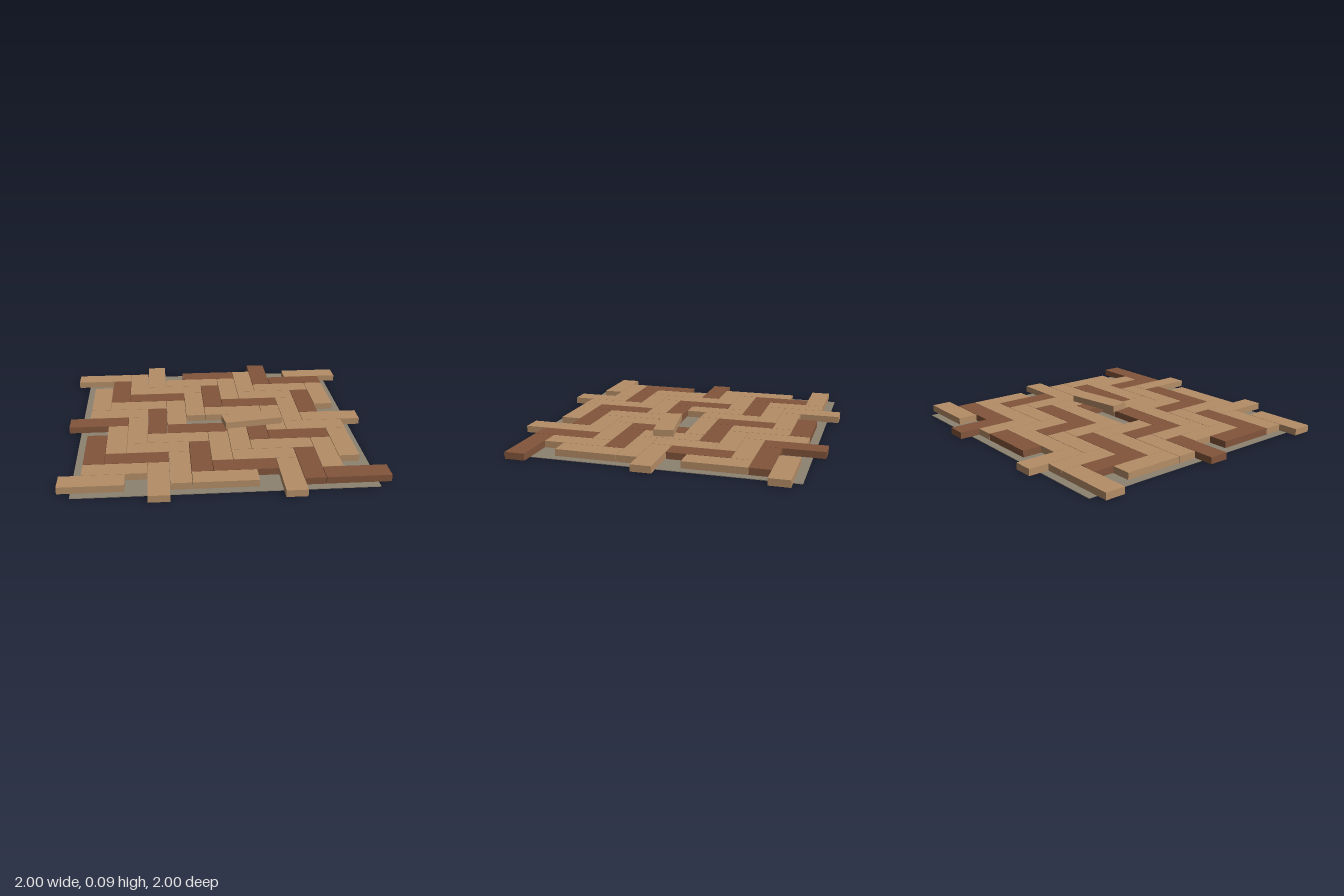
import * as THREE from 'three';

const CELL = 0.1335;   // plank width; a plank is three cells long
const GAP = 0.003;     // seam between planks
const THICK = 0.044;
const BASE = 0.004;    // thickness of the backing sheet
const CELLS = 15;

export function createModel() {
  const group = new THREE.Group();
  group.name = 'herringboneFloor';

  const paleWood = new THREE.MeshStandardMaterial({ name: 'pale wood', color: 0xb48d66 });
  const darkWood = new THREE.MeshStandardMaterial({ name: 'dark wood', color: 0x82553b });
  const screed = new THREE.MeshStandardMaterial({ name: 'grey screed', color: 0x8d8271 });

  const plankGeometry = new THREE.BoxGeometry(3 * CELL - GAP, THICK, CELL - GAP);
  const place = (cell) => (cell - CELLS / 2) * CELL;

  function addPlank(name, material, x, y, z, turn) {
    const plank = new THREE.Mesh(plankGeometry, material);
    plank.name = name;
    plank.position.set(x, y, z);
    plank.rotation.y = turn;
    group.add(plank);
  }

  // Backing sheet under the planks
  const base = new THREE.Mesh(new THREE.BoxGeometry(1.84, BASE, 1.84), screed);
  base.name = 'subfloor';
  base.position.y = BASE / 2;
  group.add(base);

  // Herringbone: each row steps one cell sideways and repeats every six cells.
  // Every third plank of each direction is dark.
  const y = BASE + THICK / 2;
  let across = 0;
  let along = 0;
  for (let row = 0; row < CELLS; row++) {
    for (let col = 0; col < CELLS; col++) {
      const step = (row + col) % 6;
      if (step === 1 && row >= 1 && row <= 13 && col <= 12) {
        const material = across++ % 3 === 1 ? darkWood : paleWood;
        // The middle plank has been lifted out
        if (row === 7 && col === 6) continue;
        addPlank('crossPlank', material, place(col + 1.5), y, place(row + 0.5), 0);
      }
      if (step === 4 && col >= 1 && col <= 13 && row <= 12) {
        const material = along++ % 3 === 1 ? darkWood : paleWood;
        addPlank('lengthPlank', material, place(col + 0.5), y, place(row + 1.5), Math.PI / 2);
      }
    }
  }

  // Loose plank lying askew on top
  addPlank('loosePlank', paleWood, 0.245, BASE + THICK * 1.5 + 0.001, 0.072, 0.15);

  return group;
}
